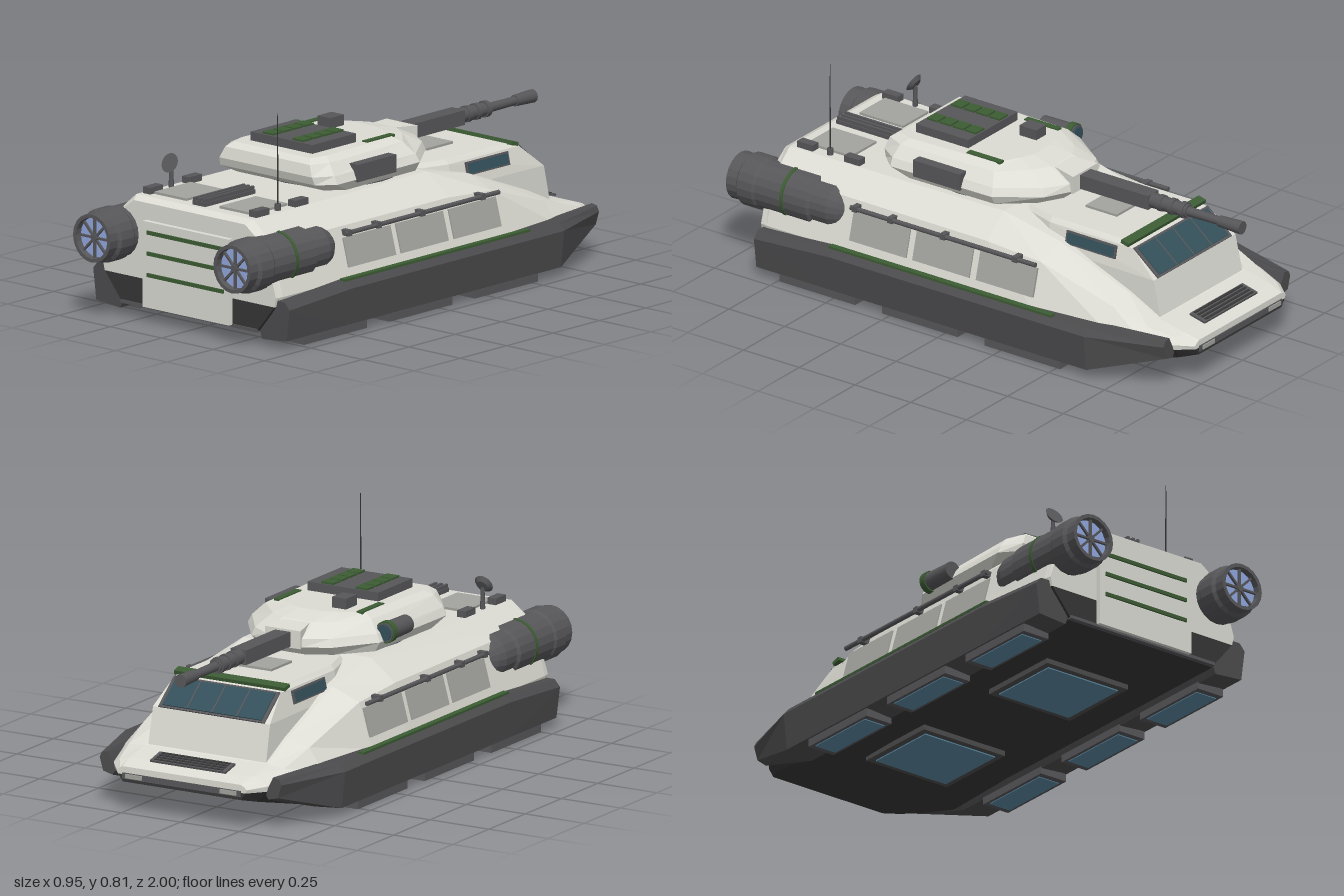
import * as THREE from 'three';

const paint = (name, color, opts = {}) => Object.assign(new THREE.MeshStandardMaterial({ color, ...opts }), { name });
const M = {
  white: paint('hullWhite', 0xdcdcd4), grey: paint('panelGrey', 0xa3a39e), dark: paint('gunmetal', 0x57575a),
  skirt: paint('skirtCharcoal', 0x4c4c4e), belly: paint('bellyBlack', 0x363637), green: paint('trimGreen', 0x3c5c33),
  glass: paint('tealGlass', 0x34505a), fan: paint('fanBlue', 0x92a8e0), pad: paint('hoverBlue', 0x5a87a0),
};

export function createModel() {
  const model = new THREE.Group();
  const add = (name, geo, mat, x = 0, y = 0, z = 0, rx = 0, ry = 0, rz = 0) => {
    const m = new THREE.Mesh(geo, mat);
    m.name = name;
    m.position.set(x, y, z);
    m.rotation.set(rx, ry, rz);
    model.add(m);
    return m;
  };
  const box = (name, mat, w, h, d, x, y, z, rx = 0, ry = 0, rz = 0) =>
    add(name, new THREE.BoxGeometry(w, h, d), mat, x, y, z, rx, ry, rz);
  // cylinder lying along z, rBack at +z
  const tube = (name, mat, rBack, rFront, z0, z1, x, y, n = 12) =>
    add(name, new THREE.CylinderGeometry(rBack, rFront, z0 - z1, n), mat, x, y, (z0 + z1) / 2, Math.PI / 2);

  // flat-faced skin through a list of closed rings, with both ends capped
  function loft(rings) {
    const p = [], n = rings[0].length;
    const tri = (a, b, c) => p.push(...a, ...b, ...c);
    for (let i = 0; i < rings.length - 1; i++)
      for (let j = 0; j < n; j++) {
        const k = (j + 1) % n, a = rings[i], b = rings[i + 1];
        tri(a[j], b[j], b[k]);
        tri(a[j], b[k], a[k]);
      }
    const cap = (r, flip) => {
      const c = [0, 1, 2].map(q => r.reduce((s, v) => s + v[q], 0) / n);
      r.forEach((v, j) => (flip ? tri(c, r[(j + 1) % n], v) : tri(c, v, r[(j + 1) % n])));
    };
    cap(rings[0], false);
    cap(rings[rings.length - 1], true);
    // turn every triangle outward if the enclosed volume came out negative
    let vol = 0;
    const v = i => new THREE.Vector3(p[i], p[i + 1], p[i + 2]);
    for (let i = 0; i < p.length; i += 9) vol += v(i).dot(v(i + 3).cross(v(i + 6)));
    if (vol < 0)
      for (let i = 0; i < p.length; i += 9)
        for (let q = 0; q < 3; q++) [p[i + 3 + q], p[i + 6 + q]] = [p[i + 6 + q], p[i + 3 + q]];
    const g = new THREE.BufferGeometry();
    g.setAttribute('position', new THREE.Float32BufferAttribute(p, 3));
    g.computeVertexNormals();
    return g;
  }
  const mirrored = half => [...half, ...half.map(([x, y, z]) => [-x, y, z]).reverse()];

  // hull stations: z, then top edge, shoulder, widest, waist and bottom as x, y
  const stations = [
    [0.85, [0.27, 0.44], [0.365, 0.37], [0.42, 0.19], [0.412, 0.155], [0.33, 0.055]],
    [0.82, [0.285, 0.455], [0.375, 0.378], [0.425, 0.19], [0.415, 0.155], [0.335, 0.05]],
    [-0.13, [0.27, 0.455], [0.375, 0.375], [0.425, 0.19], [0.415, 0.155], [0.335, 0.05]],
    [-0.37, [0.26, 0.4], [0.37, 0.355], [0.425, 0.19], [0.415, 0.155], [0.335, 0.05]],
    [-0.68, [0.26, 0.28], [0.35, 0.255], [0.4, 0.18], [0.395, 0.15], [0.335, 0.04]],
    [-0.82, [0.26, 0.212], [0.33, 0.205], [0.375, 0.17], [0.37, 0.145], [0.32, 0.075]],
    [-0.93, [0.26, 0.19], [0.3, 0.182], [0.325, 0.162], [0.32, 0.142], [0.285, 0.1]],
    [-0.99, [0.25, 0.172], [0.262, 0.166], [0.275, 0.155], [0.27, 0.142], [0.25, 0.115]],
  ];
  const part = (a, b) => loft(stations.map(s => mirrored(s.slice(a, b).map(([x, y]) => [x, y, s[0]]))));
  add('upperHull', part(1, 5), M.white);
  add('lowerHull', part(4, 6), M.belly);

  // driver cabin, stacked upward
  const cabin = [[0.19, 0.25, -0.82, 0.24], [0.35, 0.248, -0.785, 0.238], [0.44, 0.225, -0.675, 0.222], [0.457, 0.208, -0.62, 0.208]];
  add('cabin', loft(cabin.map(([y, xf, zf, xr]) => mirrored([[xf, y, zf], [xr, y, -0.3], [xr - 0.04, y, -0.17]]))), M.white);
  const tilt = Math.atan2(0.09, 0.11);
  box('windscreenFrame', M.dark, 0.45, 0.006, 0.142, 0, 0.396, -0.731, -tilt);
  box('windscreen', M.glass, 0.42, 0.008, 0.125, 0, 0.398, -0.733, -tilt);
  for (const x of [-0.105, 0, 0.105]) box('windscreenBar', M.dark, 0.005, 0.01, 0.125, x, 0.398, -0.733, -tilt);
  box('visor', M.green, 0.47, 0.014, 0.035, 0, 0.455, -0.645, -0.25);
  box('roofPlate', M.grey, 0.145, 0.012, 0.14, 0, 0.46, -0.42);

  // nose grille
  box('noseGrille', M.dark, 0.32, 0.008, 0.07, 0, 0.203, -0.915, -0.24);
  for (let i = 0; i < 4; i++) box('grilleRib', M.belly, 0.29, 0.008, 0.009, 0, 0.212 - i * 0.0042, -0.891 - i * 0.016, -0.24);
  box('noseStrip', M.dark, 0.5, 0.022, 0.008, 0, 0.138, -0.991);

  // turret, stacked upward: y, then rear to front as x, z
  const turret = [
    [0.465, [0.21, 0.36], [0.265, 0.3], [0.26, -0.08], [0.16, -0.2], [0.07, -0.25]],
    [0.5, [0.23, 0.43], [0.285, 0.37], [0.28, -0.08], [0.17, -0.235], [0.075, -0.285]],
    [0.53, [0.225, 0.44], [0.272, 0.37], [0.265, -0.075], [0.16, -0.225], [0.075, -0.28]],
    [0.572, [0.205, 0.43], [0.238, 0.36], [0.225, -0.05], [0.13, -0.15], [0.065, -0.19]],
    [0.59, [0.185, 0.405], [0.205, 0.34], [0.19, -0.03], [0.1, -0.08], [0.05, -0.1]],
  ];
  add('turretRing', new THREE.CylinderGeometry(0.25, 0.25, 0.025, 24), M.dark, 0, 0.46, 0.09);
  add('turret', loft(turret.map(([y, ...h]) => mirrored(h.map(([x, z]) => [x, y, z])))), M.white);
  add('mantlet', loft([[0.05, 0.5, 0.57, -0.18], [0.075, 0.495, 0.562, -0.295]].map(([x, y0, y1, z]) =>
    [[x, y0, z], [x, y1, z], [-x, y1, z], [-x, y0, z]])), M.white);

  // gun
  box('gunHousing', M.dark, 0.065, 0.055, 0.32, 0, 0.527, -0.44);
  tube('barrelSleeve', M.dark, 0.029, 0.025, -0.58, -0.76, 0, 0.527);
  for (const z of [-0.63, -0.68, -0.73]) tube('barrelRing', M.dark, 0.031, 0.031, z, z - 0.02, 0, 0.527);
  tube('barrel', M.dark, 0.018, 0.016, -0.74, -0.93, 0, 0.527);
  tube('muzzle', M.dark, 0.021, 0.025, -0.9, -1, 0, 0.527);

  // turret roof and sides
  box('roofHatch', M.dark, 0.3, 0.035, 0.235, 0, 0.605, 0.237);
  for (const x of [-0.075, 0.07])
    for (let i = 0; i < 4; i++) box('hatchCell', M.green, 0.052, 0.009, 0.048, x, 0.625, 0.15 + i * 0.057);
  for (const s of [-1, 1]) box('roofStripe', M.green, 0.025, 0.009, 0.15, s * 0.175, 0.59, 0.025);
  box('periscope', M.dark, 0.06, 0.045, 0.075, -0.08, 0.607, 0);
  box('turretSideBox', M.dark, 0.04, 0.065, 0.21, 0.27, 0.523, 0.16);
  tube('searchlight', M.dark, 0.034, 0.036, 0.1, -0.05, -0.28, 0.53, 16);
  tube('searchlightRing', M.green, 0.041, 0.041, -0.02, -0.045, -0.28, 0.53, 16);
  tube('searchlightLens', M.glass, 0.03, 0.03, -0.05, -0.056, -0.28, 0.53, 16);

  // rear deck
  box('deckVent', M.dark, 0.062, 0.016, 0.27, 0, 0.462, 0.665);
  for (const x of [-0.022, 0, 0.022]) box('ventRib', M.dark, 0.01, 0.03, 0.27, x, 0.468, 0.665);
  for (const s of [-1, 1]) {
    box('deckHatch', M.grey, 0.155, 0.012, 0.195, s * 0.158, 0.458, 0.68);
    for (const z of [0.55, 0.76]) box('deckLug', M.dark, 0.035, 0.025, 0.07, s * 0.258, 0.467, z);
  }
  tube('antennaBase', M.dark, 0.012, 0.012, 0.672, 0.648, 0.257, 0.468).rotation.x = 0;
  add('antenna', new THREE.CylinderGeometry(0.0015, 0.003, 0.35, 6), M.belly, 0.257, 0.64, 0.66);
  add('dishPost', new THREE.CylinderGeometry(0.007, 0.01, 0.08, 8), M.dark, -0.26, 0.495, 0.66);
  add('dish', new THREE.CylinderGeometry(0.037, 0.022, 0.014, 16), M.dark, -0.26, 0.543, 0.662, 1.1);

  // rear door
  box('rearDoor', M.white, 0.42, 0.32, 0.03, 0, 0.217, 0.855);
  for (const y of [0.18, 0.26, 0.338]) box('doorStripe', M.green, 0.37, 0.014, 0.009, 0, y, 0.872);
  box('rearSill', M.dark, 0.66, 0.012, 0.02, 0, 0.055, 0.845);

  // belly hover plates
  for (const z of [-0.36, 0.36]) {
    box('bellyFrame', M.skirt, 0.37, 0.025, 0.34, 0, 0.043, z);
    box('bellyPlate', M.pad, 0.32, 0.006, 0.29, 0, 0.029, z);
  }

  // skirt outline at full size and at the tip
  const skirtFull = [[0.39, 0.2], [0.455, 0.198], [0.477, 0.172], [0.462, 0.035], [0.345, 0.025], [0.33, 0.06], [0.36, 0.16]];
  const skirtTip = [[0.35, 0.2], [0.375, 0.195], [0.385, 0.175], [0.37, 0.125], [0.33, 0.115], [0.32, 0.13], [0.33, 0.16]];
  const engineProfile = [[0, 0.475], [0.03, 0.475], [0.072, 0.525], [0.084, 0.56], [0.084, 0.63], [0.094, 0.64], [0.094, 0.87],
    [0.1, 0.88], [0.1, 0.945], [0.088, 0.955], [0.09, 1], [0.076, 1], [0.074, 0.97]].map(p => new THREE.Vector2(...p));
  const bodyLathe = new THREE.LatheGeometry(engineProfile, 20).toNonIndexed();
  bodyLathe.computeVertexNormals();

  for (const s of [-1, 1]) {
    // side skirt with trim and hover pads
    const ring = (pts, z, dy = 0) => pts.map(([x, y]) => [s * x, y > 0.15 ? y + dy : y, z]);
    add('sideSkirt', loft([ring(skirtFull, 0.84, -0.02), ring(skirtFull, 0.5), ring(skirtFull, -0.64), ring(skirtTip, -0.93)]), M.skirt);
    box('skirtStripe', M.green, 0.024, 0.009, 1, s * 0.446, 0.201, 0.02);
    for (const z of [0.57, 0.11, -0.35]) {
      box('hoverPad', M.dark, 0.115, 0.03, 0.34, s * 0.4, 0.018, z);
      box('hoverPlate', M.pad, 0.09, 0.006, 0.29, s * 0.4, 0.003, z);
    }
    // side panels and hand rail
    for (const z of [0.328, 0.045, -0.24]) box('sidePanel', M.grey, 0.009, 0.11, 0.255, s * 0.401, 0.283, z, 0, 0, s * 0.265);
    tube('handRail', M.dark, 0.009, 0.009, 0.46, -0.37, s * 0.403, 0.355, 8);
    for (const z of [0.44, 0.28, 0.045, -0.28]) box('railBracket', M.dark, 0.04, 0.022, 0.022, s * 0.392, 0.355, z);
    // cabin side window
    box('sideWindowFrame', M.dark, 0.008, 0.05, 0.225, s * 0.235, 0.409, -0.495, 0, s * -0.01, s * 0.23);
    box('sideWindow', M.glass, 0.009, 0.038, 0.21, s * 0.237, 0.409, -0.495, 0, s * -0.01, s * 0.23);
    box('headlight', M.grey, 0.07, 0.016, 0.008, s * 0.2, 0.139, -0.995);
    // engine pod and fan
    const x = s * 0.341, y = 0.313;
    add('enginePod', bodyLathe, M.dark, x, y, 0, Math.PI / 2);
    tube('engineBand', M.green, 0.097, 0.097, 0.757, 0.743, x, y, 20);
    add('fanDisc', new THREE.CircleGeometry(0.077, 20), M.fan, x, y, 0.975);
    tube('fanHub', M.dark, 0.014, 0.014, 0.99, 0.974, x, y);
    for (let i = 0; i < 4; i++) box('fanSpoke', M.dark, 0.152, 0.008, 0.009, x, y, 0.982, 0, 0, i * Math.PI / 4);
  }
  return model;
}
